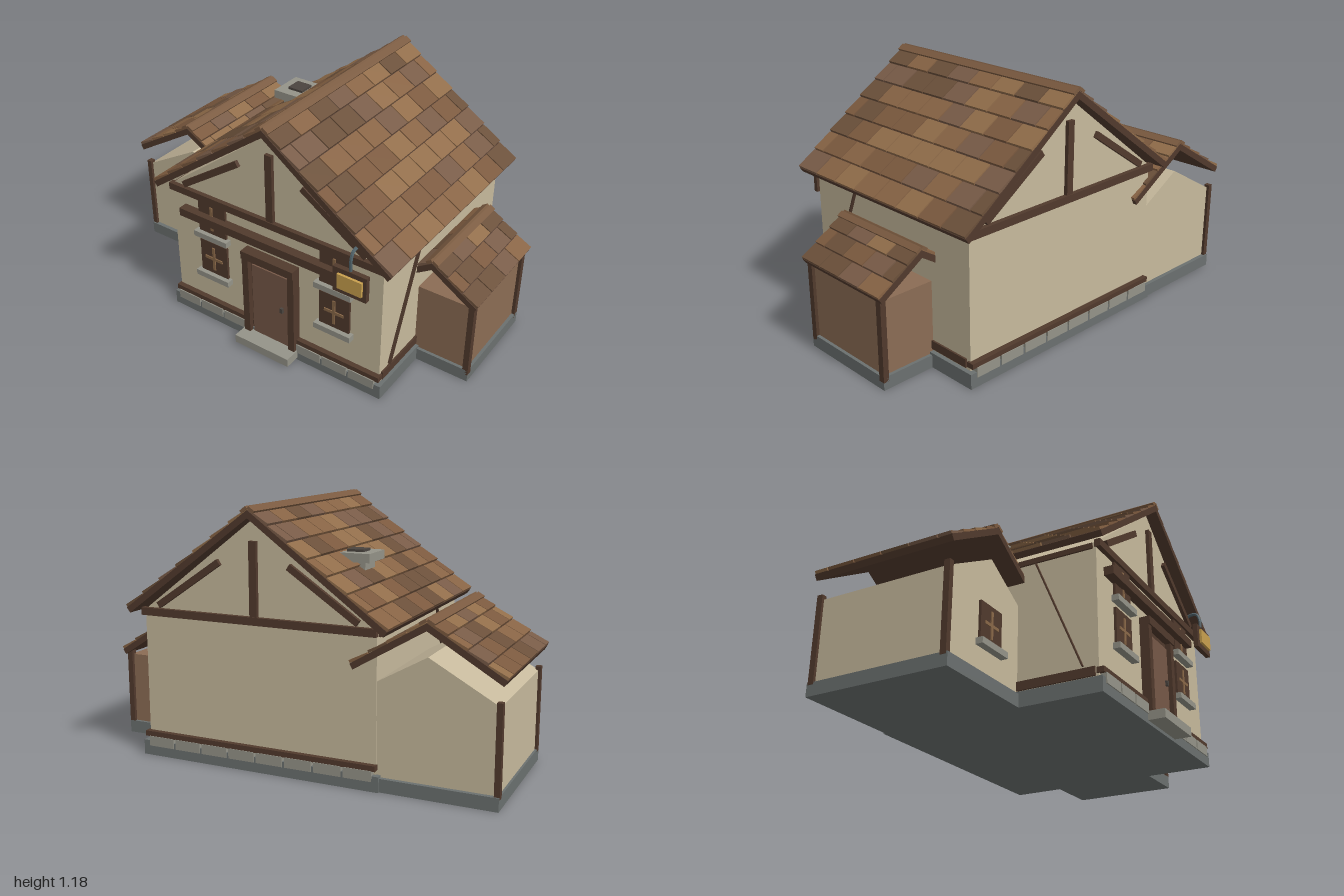
import * as THREE from 'three';

const mat = (c) => new THREE.MeshStandardMaterial({ color: c, flatShading: true });
const M = {
  plaster: mat(0xc6b99c), timber: mat(0x513a2d), clay: mat(0x8b6c54), door: mat(0x765847),
  plinth: mat(0x6b706f), stone: mat(0x949388), muntin: mat(0x8a6848), gold: mat(0xc9a04e),
  metal: mat(0x4f6168), dark: mat(0x4a443f), ridge: mat(0x7a5a40),
};
const tileMats = [0x7b593e, 0x876344, 0x6b503a, 0x785b47, 0x916d4a].map(mat);
const unit = new THREE.BoxGeometry(1, 1, 1);

let seed = 7;
const rand = () => (seed = (seed * 16807) % 2147483647) / 2147483647;

// Box given by its min and max on each axis
function box(parent, name, m, x0, x1, y0, y1, z0, z1) {
  const b = new THREE.Mesh(unit, m);
  b.name = name;
  b.scale.set(x1 - x0, y1 - y0, z1 - z0);
  b.position.set((x0 + x1) / 2, (y0 + y1) / 2, (z0 + z1) / 2);
  parent.add(b);
  return b;
}

// Sloping beam in the xy plane between two points
function beam(parent, name, xa, ya, xb, yb, w, z, depth) {
  const b = new THREE.Mesh(unit, M.timber);
  b.name = name;
  b.scale.set(Math.hypot(xb - xa, yb - ya), w, depth);
  b.position.set((xa + xb) / 2, (ya + yb) / 2, z);
  b.rotation.z = Math.atan2(yb - ya, xb - xa);
  parent.add(b);
}

// House body with a gabled top, extruded along z
function gabledBody(parent, name, x0, x1, y0, yL, yR, px, py, z0, z1) {
  const s = new THREE.Shape();
  s.moveTo(x0, y0).lineTo(x1, y0).lineTo(x1, yR).lineTo(px, py).lineTo(x0, yL);
  const g = new THREE.ExtrudeGeometry(s, { depth: z1 - z0, bevelEnabled: false });
  const b = new THREE.Mesh(g, M.plaster);
  b.name = name;
  b.position.z = z0;
  parent.add(b);
}

// Two slabs covered with staggered tiles, plus a ridge cap
function roof(parent, name, cx, ridgeY, run, rise, z0, z1, rows, cols, cap) {
  const g = new THREE.Group();
  g.name = name;
  parent.add(g);
  const a = Math.atan2(rise, run), len = Math.hypot(run, rise);
  const step = len / rows, w = (z1 - z0) / cols;
  for (const s of [-1, 1]) {
    const side = new THREE.Group();
    side.name = 'roofSlope';
    side.position.set(cx, ridgeY, 0);
    side.rotation.z = -s * a;
    g.add(side);
    const slab = box(side, 'roofSlab', M.timber, 0, len, -0.028, 0, z0, z1);
    slab.position.x = s * len / 2;
    for (let r = 0; r < rows; r++) {
      const shift = r % 2 ? w / 2 : 0;
      for (let c = 0; c <= cols; c++) {
        const a0 = Math.max(z0, z1 - c * w - w + shift), a1 = Math.min(z1, z1 - c * w + shift);
        if (a1 - a0 < 0.01) continue;
        const m = tileMats[Math.floor(rand() * tileMats.length)];
        const t = box(side, 'roofTile', m, 0, step - 0.004, -0.006, 0.006, a0 + 0.003, a1 - 0.003);
        t.position.x = s * (r + 0.5) * step;
        t.position.y = 0.004;
        t.rotation.z = s * 0.08;
      }
    }
    // Ridge board on this slope
    const ridge = box(side, 'ridgeCap', M.ridge, 0, cap, 0.004, 0.018, z0, z1);
    ridge.position.x = s * (cap / 2 - 0.004);
  }
}

// Window with cross bars and a stone sill
function windowAt(parent, cx, y0, z) {
  const g = new THREE.Group();
  g.name = 'window';
  parent.add(g);
  const h = 0.175;
  box(g, 'windowPane', M.timber, cx - 0.078, cx + 0.078, y0, y0 + h, z - 0.01, z + 0.012);
  box(g, 'muntinUpright', M.muntin, cx - 0.007, cx + 0.007, y0 + 0.025, y0 + h - 0.025, z, z + 0.017);
  box(g, 'muntinCross', M.muntin, cx - 0.05, cx + 0.05, y0 + 0.08, y0 + 0.094, z, z + 0.017);
  box(g, 'windowSill', M.stone, cx - 0.095, cx + 0.095, y0 - 0.025, y0 + 0.003, z - 0.01, z + 0.034);
}

export function createModel() {
  const house = new THREE.Group();
  house.name = 'house';

  // Plinths and walls
  box(house, 'mainPlinth', M.plinth, -0.46, 0.72, 0, 0.07, -0.56, 0.515);
  box(house, 'leftPlinth', M.plinth, -0.975, -0.45, 0, 0.06, -0.55, 0.13);
  box(house, 'rightPlinth', M.plinth, 0.71, 0.98, 0, 0.06, -0.315, 0.195);
  gabledBody(house, 'mainWalls', -0.44, 0.7, 0.06, 0.69, 0.69, 0.13, 1.125, -0.535, 0.49);
  gabledBody(house, 'leftWingWalls', -0.965, -0.43, 0.05, 0.43, 0.47, -0.66, 0.6, -0.53, 0.11);
  box(house, 'rightWingWalls', M.clay, 0.69, 0.965, 0.05, 0.4, -0.3, 0.18);

  // Roofs
  roof(house, 'mainRoof', 0.13, 1.165, 0.635, 0.465, -0.59, 0.545, 7, 8, 0.035);
  roof(house, 'leftWingRoof', -0.66, 0.745, 0.335, 0.2, -0.555, 0.14, 4, 5, 0.035);
  roof(house, 'rightWingRoof', 0.77, 0.572, 0.225, 0.145, -0.33, 0.21, 3, 4, 0.03);

  // Timber framing and footing stones on the front and back walls
  for (const [z, s] of [[0.49, 1], [-0.535, -1]]) {
    const zc = z + s * 0.008;
    box(house, 'tieBeam', M.timber, -0.445, 0.71, 0.665, 0.7, zc - 0.014, zc + 0.014);
    box(house, 'sillBeam', M.timber, -0.445, 0.71, 0.09, 0.115, zc - 0.017, zc + 0.017);
    box(house, 'gablePost', M.timber, 0.112, 0.148, 0.7, 1.03, zc - 0.01, zc + 0.01);
    for (const m of [-1, 1]) {
      beam(house, 'gableBrace', 0.13 + m * 0.17, 0.93, 0.13 + m * 0.49, 0.715, 0.03, zc, 0.02);
    }
    for (let i = 0; i < 8; i++) {
      if (s > 0 && (i === 3 || i === 4)) continue;
      const x = -0.43 + i * 0.141;
      box(house, 'footingStone', M.stone, x, x + 0.13, 0.045, 0.092, zc - 0.02, zc + 0.022);
    }
  }

  // Rails and slanting braces on the side walls
  for (const [x, s] of [[0.7, 1], [-0.44, -1]]) {
    const xa = x - 0.009, xb = x + 0.009;
    box(house, 'sideLowerRail', M.timber, xa, xb, 0.08, 0.12, -0.515, 0.475);
    box(house, 'sideUpperRail', M.timber, xa, xb, 0.66, 0.685, -0.515, 0.475);
    const brace = box(house, 'sideBrace', M.timber, xa, xb + (s > 0 ? 0.004 : 0), -0.287, 0.287, -0.003, 0.003);
    brace.position.set(x + s * 0.004, 0.395, 0.31);
    brace.rotation.x = -0.393;
  }

  // Wing corner posts
  for (const z of [-0.53, 0.11]) {
    box(house, 'leftWingPost', M.timber, -0.977, -0.952, 0.05, 0.45, z - 0.014, z + 0.014);
  }
  for (const z of [-0.3, 0.18]) {
    box(house, 'rightWingPost', M.timber, 0.953, 0.98, 0.035, 0.43, z - 0.015, z + 0.015);
  }

  // Windows
  for (const x of [-0.205, 0.467]) {
    windowAt(house, x, 0.272, 0.49);
    windowAt(house, x, 0.495, 0.49);
  }
  windowAt(house, -0.667, 0.197, 0.11);
  box(house, 'frontBeam', M.timber, -0.37, 0.53, 0.56, 0.6, 0.48, 0.535);

  // Doorway
  const door = new THREE.Group();
  door.name = 'doorway';
  house.add(door);
  box(door, 'doorBacking', M.timber, 0, 0.26, 0.05, 0.48, 0.48, 0.508);
  for (const x of [-0.012, 0.24]) box(door, 'doorJamb', M.timber, x, x + 0.034, 0.055, 0.48, 0.48, 0.535);
  box(door, 'doorLintel', M.timber, -0.012, 0.274, 0.47, 0.51, 0.48, 0.542);
  box(door, 'doorPanel', M.door, 0.032, 0.23, 0.055, 0.44, 0.49, 0.518);
  box(door, 'doorHandle', M.dark, 0.193, 0.207, 0.245, 0.27, 0.51, 0.53);
  box(door, 'doorStep', M.stone, -0.02, 0.28, 0.015, 0.057, 0.5, 0.595);

  // Hanging sign with a hook
  const sign = new THREE.Group();
  sign.name = 'hangingSign';
  house.add(sign);
  box(sign, 'signBoard', M.timber, 0.508, 0.672, 0.552, 0.675, 0.555, 0.578);
  box(sign, 'signPlate', M.gold, 0.535, 0.655, 0.58, 0.652, 0.575, 0.59);
  const path = new THREE.CatmullRomCurve3([
    [0.588, 0.675, 0.566], [0.588, 0.73, 0.566], [0.588, 0.762, 0.55], [0.588, 0.762, 0.51], [0.588, 0.73, 0.48],
  ].map((p) => new THREE.Vector3(...p)));
  const hook = new THREE.Mesh(new THREE.TubeGeometry(path, 16, 0.008, 6), M.metal);
  hook.name = 'signHook';
  sign.add(hook);

  // Chimney
  const chimney = new THREE.Group();
  chimney.name = 'chimney';
  house.add(chimney);
  box(chimney, 'chimneyStack', M.stone, -0.262, -0.152, 0.82, 0.93, -0.243, -0.133);
  box(chimney, 'chimneyCap', M.stone, -0.295, -0.12, 0.925, 0.965, -0.276, -0.101);
  box(chimney, 'chimneyFlue', M.dark, -0.247, -0.167, 0.96, 0.976, -0.228, -0.148);

  return house;
}
